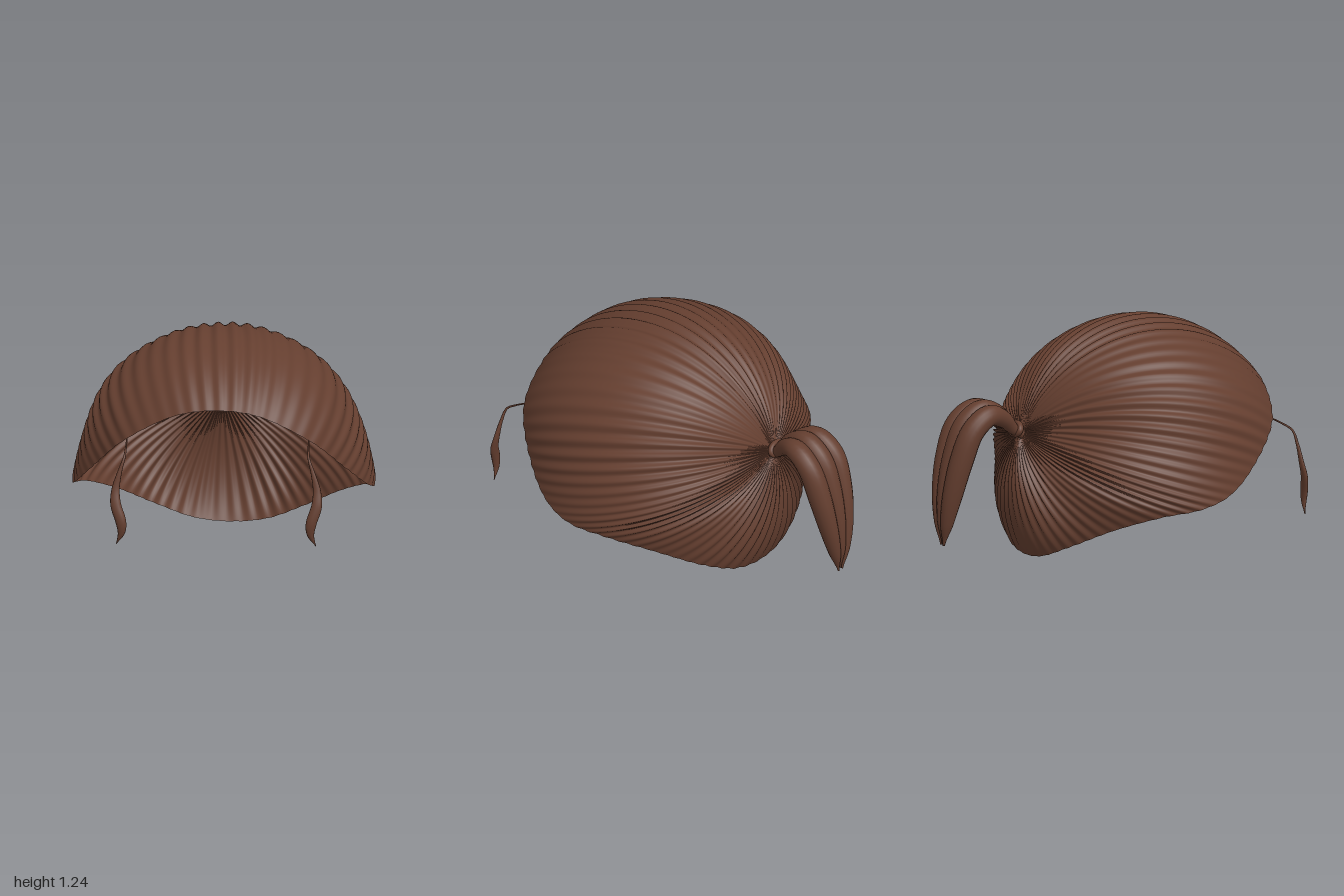
import * as THREE from 'three';

const V = (x, y, z) => new THREE.Vector3(x, y, z);
const hair = new THREE.MeshStandardMaterial({ color: 0x643e2f, side: THREE.DoubleSide });
hair.name = 'brown hair';

function meshFrom(name, positions, indices) {
  const geo = new THREE.BufferGeometry();
  geo.setAttribute('position', new THREE.Float32BufferAttribute(positions, 3));
  geo.setIndex(indices);
  geo.computeVertexNormals();
  const mesh = new THREE.Mesh(geo, hair);
  mesh.name = name;
  return mesh;
}

// Sweeps an elliptical section along a path; sizes = [half width, half depth] stops
function lock(name, points, sizes, segs = 48, sides = 16) {
  const curve = new THREE.CatmullRomCurve3(points, false, 'centripetal');
  const profile = new THREE.SplineCurve(sizes.map(([w, d]) => new THREE.Vector2(w, d)));
  const pos = [], idx = [];
  for (let i = 0; i <= segs; i++) {
    const t = i / segs;
    const p = curve.getPoint(t), tan = curve.getTangent(t), size = profile.getPoint(t);
    const side = V(1, 0, 0).addScaledVector(tan, -tan.x).normalize();
    const normal = tan.clone().cross(side);
    for (let j = 0; j < sides; j++) {
      const a = (j / sides) * Math.PI * 2;
      const q = p.clone()
        .addScaledVector(side, Math.cos(a) * size.x)
        .addScaledVector(normal, Math.sin(a) * size.y);
      pos.push(q.x, q.y, q.z);
      if (i < segs) {
        const k = (j + 1) % sides, r = i * sides, n = r + sides;
        idx.push(r + j, r + k, n + j, r + k, n + k, n + j);
      }
    }
  }
  // End caps
  const last = segs * sides;
  for (let j = 1; j < sides - 1; j++) {
    idx.push(0, j + 1, j, last, last + j, last + j + 1);
  }
  return meshFrom(name, pos, idx);
}

// Combed shell: ridges run from the gather point at the back to the rim
function scalp() {
  const centre = V(0, 0.45, 0.2);
  const pole = V(-0.05, 0.69, -0.5).sub(centre).normalize();
  const half = [
    [0.22, 0.875, 0.87], [0.5, 0.725, 0.8], [0.68, 0.54, 0.61], [0.785, 0.41, 0.41],
    [0.815, 0.36, 0.23], [0.755, 0.325, 0.02], [0.6, 0.24, -0.19], [0.4, 0.12, -0.36],
    [0.2, 0.03, -0.44],
  ];
  const rim = new THREE.CatmullRomCurve3([
    V(0, 0.905, 0.88), ...half.map(p => V(...p)), V(0, 0.005, -0.46),
    ...half.map(([x, y, z]) => V(-x, y, z)).reverse(),
  ], true);
  rim.arcLengthDivisions = 800;

  const ridges = 64, around = ridges * 8, rows = 40;
  const pos = [], idx = [];
  const edge = Array.from({ length: around }, (_, j) => rim.getPointAt(j / around).sub(centre));
  for (let i = 0; i <= rows; i++) {
    const t = i / rows;
    const ramp = Math.min(1, t / 0.3) * (1 - 0.7 * Math.pow(t, 6));
    for (let j = 0; j < around; j++) {
      const u = (j / around) * Math.PI * 2;
      const dir = edge[j].clone().normalize();
      const angle = pole.angleTo(dir);
      const amp = 0.0075 + 0.003 * Math.sin(u * 7 + 1);
      const wave = amp * ramp * Math.sin(u * ridges + 0.8 * Math.sin(u * 5));
      const radius = 0.735 + (edge[j].length() - 0.735) * t + wave;
      const p = pole.clone().multiplyScalar(Math.sin((1 - t) * angle))
        .addScaledVector(dir, Math.sin(t * angle))
        .multiplyScalar(radius / Math.sin(angle)).add(centre);
      pos.push(p.x, p.y, p.z);
      if (i < rows) {
        const k = (j + 1) % around, r = i * around, n = r + around;
        idx.push(r + j, n + j, r + k, r + k, n + j, n + k);
      }
    }
  }
  return meshFrom('combedHair', pos, idx);
}

// Three lobes that fan out from the tie and meet at the tip
function ponytail() {
  const group = new THREE.Group();
  group.name = 'ponytail';
  const path = [
    [0.685, -0.47], [0.725, -0.54], [0.8, -0.62], [0.835, -0.72], [0.765, -0.82],
    [0.6, -0.885], [0.4, -0.93], [0.24, -0.95], [0.12, -0.957],
  ];
  const spread = [0.028, 0.03, 0.055, 0.085, 0.098, 0.088, 0.065, 0.038, 0.015];
  const sizes = [
    [0.02, 0.026], [0.026, 0.03], [0.042, 0.048], [0.058, 0.06], [0.062, 0.064],
    [0.06, 0.066], [0.047, 0.056], [0.03, 0.036], [0.004, 0.006],
  ];
  for (const s of [-1, 0, 1]) {
    const drop = s === 0 ? 0.004 : -0.008;
    const pts = path.map(([y, z], i) => V(-0.045 + s * spread[i], y + drop, z));
    group.add(lock(s === 0 ? 'middleLobe' : s < 0 ? 'rightLobe' : 'leftLobe', pts, sizes));
  }
  // Hair wound round the base
  const tie = new THREE.Mesh(new THREE.TorusGeometry(0.046, 0.018, 12, 36), hair);
  tie.name = 'hairTie';
  tie.scale.set(1.1, 0.75, 1);
  tie.position.set(-0.045, 0.715, -0.52);
  tie.rotation.x = Math.atan2(0.5, 1);
  group.add(tie);
  return group;
}

// Thin wavy strands hanging at the front
function strand(s) {
  const pts = [
    [0.492, 0.735, 0.79], [0.494, 0.695, 0.86], [0.5, 0.65, 0.92], [0.522, 0.58, 0.938],
    [0.545, 0.48, 0.952], [0.543, 0.4, 0.97], [0.515, 0.31, 0.982], [0.512, 0.25, 0.982],
    [0.54, 0.185, 0.975],
  ].map(([x, y, z]) => V(s * x, y, z));
  const sizes = [
    [0.004, 0.004], [0.005, 0.005], [0.007, 0.006], [0.012, 0.008], [0.022, 0.012],
    [0.029, 0.016], [0.029, 0.018], [0.02, 0.013], [0.002, 0.002],
  ];
  return lock(s > 0 ? 'leftStrand' : 'rightStrand', pts, sizes, 48, 12);
}

export function createModel() {
  const model = new THREE.Group();
  model.name = 'hairstyle';
  model.add(scalp(), ponytail(), strand(1), strand(-1));
  return model;
}
